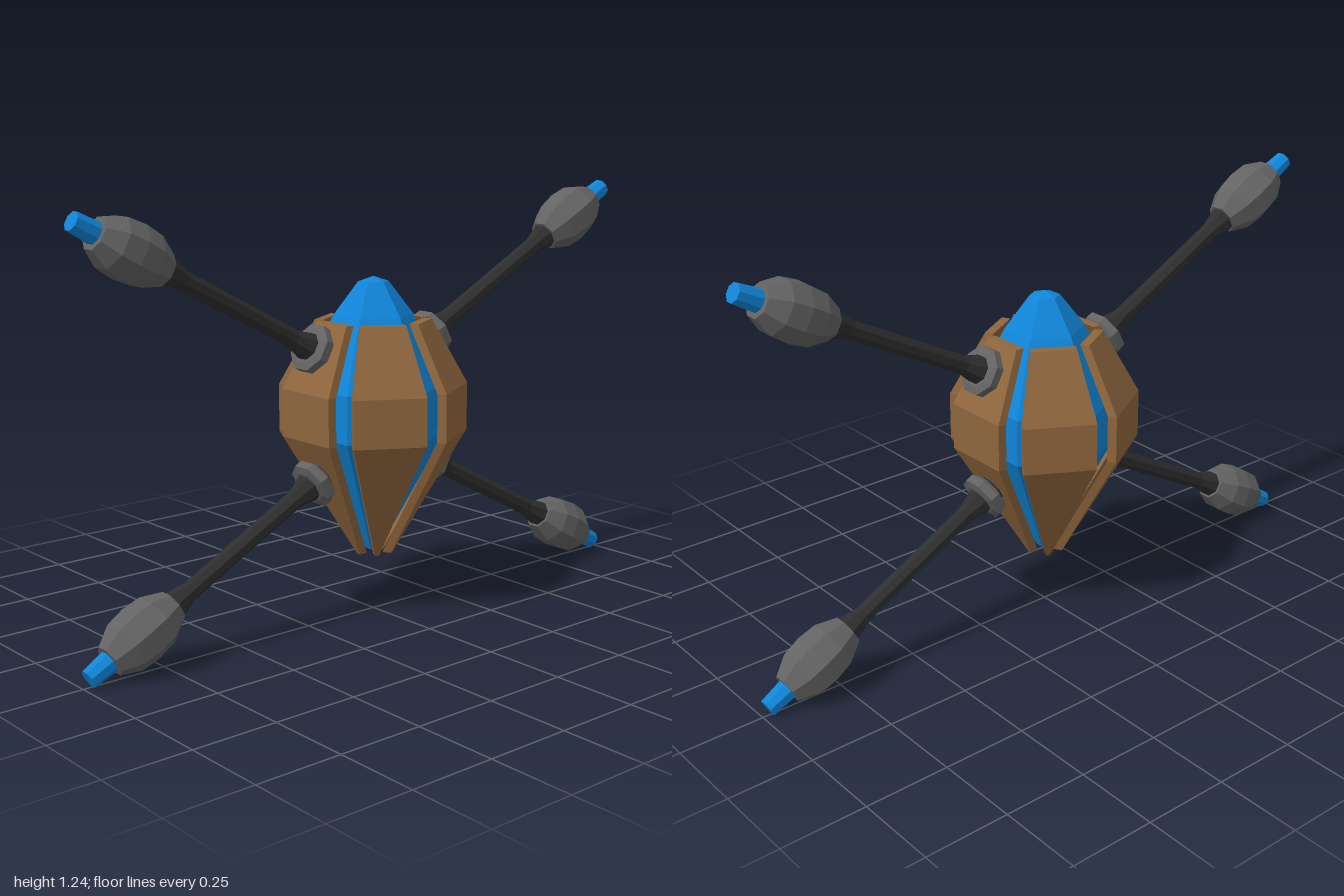
import * as THREE from 'three';

const material = (name, color) => {
  const m = new THREE.MeshStandardMaterial({ color });
  m.name = name;
  return m;
};

// Split the faces so that every facet gets its own normal
function faceted(geometry) {
  const g = geometry.toNonIndexed();
  g.computeVertexNormals();
  return g;
}

// Faceted solid of revolution; profile is [radius, height] from bottom to top
function turned(profile, sides, phase = 0) {
  const points = profile.map(([r, y]) => new THREE.Vector2(r, y));
  return faceted(new THREE.LatheGeometry(points, sides, phase));
}

function part(name, geometry, mat) {
  const mesh = new THREE.Mesh(geometry, mat);
  mesh.name = name;
  return mesh;
}

// Bent armour plate facing +x; rows are [height, outer distance, half width]
function plateGeometry(rows, thickness) {
  const g = new THREE.BoxGeometry(1, 1, 1, 1, rows.length - 1, 1);
  const p = g.attributes.position;
  for (let i = 0; i < p.count; i++) {
    const row = Math.round((p.getY(i) + 0.5) * (rows.length - 1));
    const [y, outer, half] = rows[row];
    p.setXYZ(i, outer - (p.getX(i) < 0 ? thickness : 0), y, p.getZ(i) * 2 * half);
  }
  return faceted(g);
}

export function createModel() {
  const model = new THREE.Group();
  model.name = 'armouredPodWithArms';

  const brown = material('brown armour', 0x8f663d);
  const blue = material('blue glow', 0x1085d8);
  const grey = material('grey metal', 0x636363);
  const dark = material('dark metal', 0x2e2e2e);

  // Six-sided core with a blunt cap
  const core = [[0, 0.18], [0.022, 0.19], [0.225, 0.55], [0.225, 0.69],
    [0.117, 0.895], [0.045, 0.99], [0, 1.005]];
  model.add(part('core', turned(core, 6), blue));

  // Armour plates, one on each side of the core
  const plate = plateGeometry([
    [0.18, 0.058, 0.006], [0.55, 0.255, 0.105], [0.69, 0.255, 0.105], [0.88, 0.157, 0.065],
  ], 0.027);
  for (let i = 0; i < 6; i++) {
    const mesh = part('armourPlate', plate, brown);
    mesh.rotation.y = (i * Math.PI) / 3;
    model.add(mesh);
  }

  // Arm parts, turned about +y and shared by all four arms
  const phase = Math.PI / 8;
  const collar = turned([[0, -0.02], [0.06, -0.02], [0.073, -0.008], [0.073, 0.016],
    [0.05, 0.022], [0, 0.022]], 8, phase);
  const rod = turned([[0, -0.04], [0.042, -0.04], [0.042, 0.025], [0.027, 0.08],
    [0.027, 0.49], [0.043, 0.565], [0, 0.57]], 8, phase);
  const pod = turned([[0, 0.555], [0.048, 0.555], [0.078, 0.615], [0.084, 0.672],
    [0.078, 0.73], [0.048, 0.785], [0, 0.785]], 8, phase);
  const tip = turned([[0, 0.76], [0.034, 0.76], [0.028, 0.858], [0, 0.858]], 8, phase);

  const tilt = THREE.MathUtils.degToRad(28);
  for (const sx of [1, -1]) {
    for (const sy of [1, -1]) {
      const arm = new THREE.Group();
      arm.name = `${sy > 0 ? 'upper' : 'lower'}${sx > 0 ? 'Left' : 'Right'}Arm`;
      arm.add(
        part('collar', collar, grey),
        part('rod', rod, dark),
        part('pod', pod, grey),
        part('tip', tip, blue),
      );
      arm.position.set(0.225 * sx, 0.621 + 0.194 * sy, 0);
      arm.rotation.z = Math.atan2(sy * Math.sin(tilt), sx * Math.cos(tilt)) - Math.PI / 2;
      model.add(arm);
    }
  }
  return model;
}
